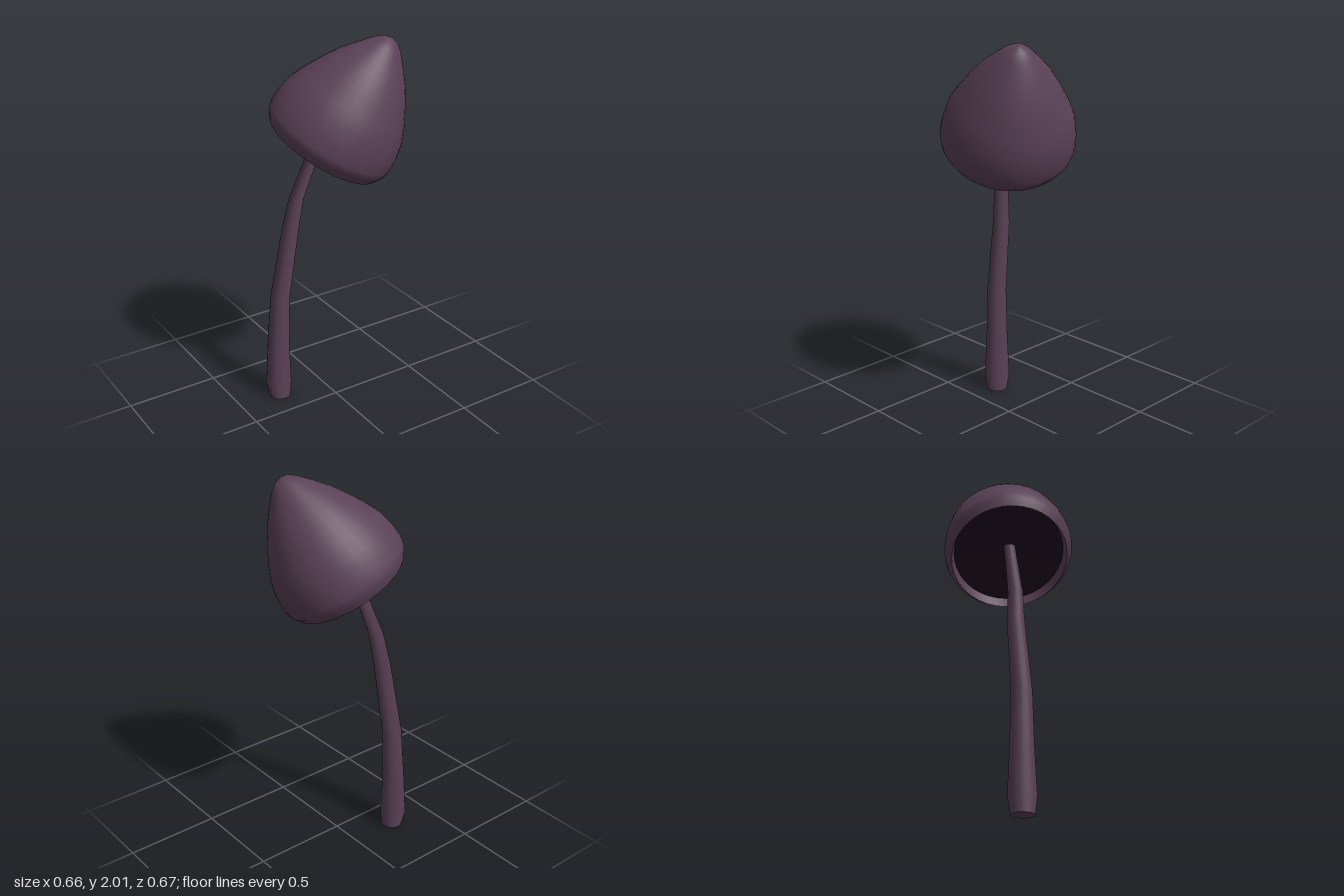
import * as THREE from 'three';

const skin = new THREE.MeshStandardMaterial({ color: 0x5a4156 });
skin.name = 'dusky plum';
const dark = new THREE.MeshStandardMaterial({ color: 0x220c22 });
dark.name = 'deep purple';

const lathe = (name, profile, material) => {
  const points = profile.map(([r, h]) => new THREE.Vector2(r, h));
  const mesh = new THREE.Mesh(new THREE.LatheGeometry(points, 36), material);
  mesh.name = name;
  return mesh;
};

// Bent stem: a cylinder whose rows follow stations of [x, y, z, radius]
function makeStem() {
  const stations = [
    [-0.262, 0, -0.16, 0.056],
    [-0.265, 0.08, -0.166, 0.069],
    [-0.262, 0.33, -0.163, 0.058],
    [-0.252, 0.6, -0.153, 0.052],
    [-0.193, 1.0, -0.131, 0.044],
    [-0.168, 1.17, -0.108, 0.038],
    [-0.1, 1.39, -0.068, 0.032],
    [-0.055, 1.51, -0.038, 0.03],
  ];
  const rows = stations.length - 1;
  const geo = new THREE.CylinderGeometry(1, 1, 1, 20, rows);
  const p = geo.attributes.position;
  for (let i = 0; i < p.count; i++) {
    const [x, y, z, r] = stations[Math.round((p.getY(i) + 0.5) * rows)];
    p.setXYZ(i, x + p.getX(i) * r, y, z + p.getZ(i) * r);
  }
  const mesh = new THREE.Mesh(geo, skin);
  mesh.name = 'stem';
  return mesh;
}

// Tilted cap: outer shell, inner lip and dark underside, centred on the widest ring
function makeCap() {
  const cap = new THREE.Group();
  cap.name = 'cap';
  cap.add(
    lathe('capShell', [
      [0.305, -0.08], [0.333, -0.035], [0.34, 0], [0.334, 0.07], [0.315, 0.15], [0.282, 0.22],
      [0.235, 0.305], [0.185, 0.385], [0.125, 0.46], [0.075, 0.518], [0.04, 0.548], [0, 0.56],
    ], skin),
    lathe('innerLip', [[0.29, -0.02], [0.305, -0.08]], skin),
    lathe('underside', [[0, 0.01], [0.15, 0], [0.29, -0.02]], dark),
  );
  const axis = new THREE.Vector3(0.42, 0.86, 0.29).normalize();
  cap.quaternion.setFromUnitVectors(new THREE.Vector3(0, 1, 0), axis);
  cap.position.set(-0.018, 1.515, -0.01);
  return cap;
}

export function createModel() {
  const model = new THREE.Group();
  model.name = 'mushroom';
  model.add(makeStem(), makeCap());
  return model;
}
